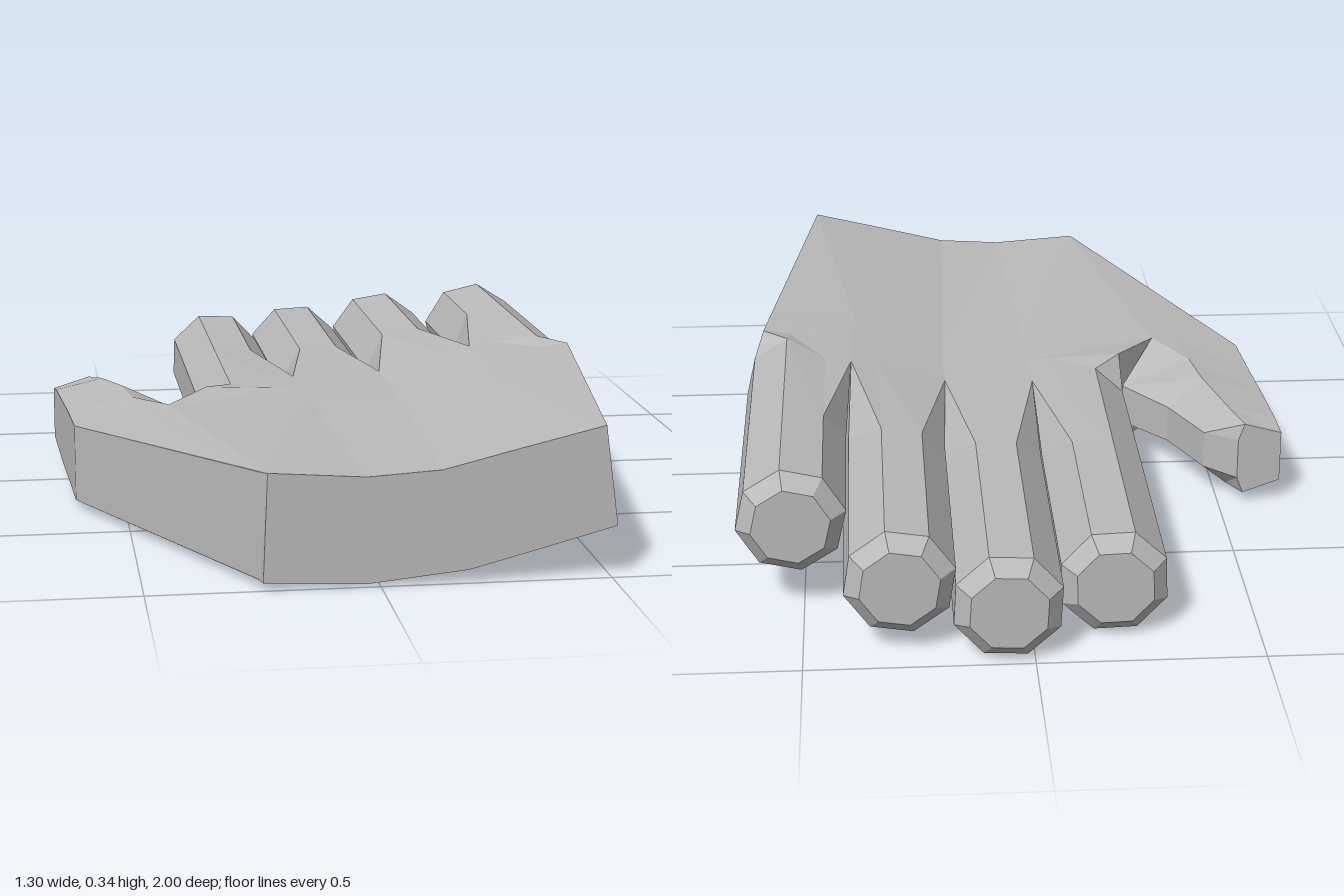
import * as THREE from 'three';

// Skin between rings of points (counter-clockwise seen from +z, running towards -z), capped at both ends.
function loft(rings) {
  const pos = [];
  const tri = (...pts) => pts.forEach((p) => pos.push(...p));
  const n = rings[0].length;
  for (let i = 0; i < rings.length - 1; i++) {
    for (let j = 0; j < n; j++) {
      const k = (j + 1) % n;
      const a = rings[i][j], b = rings[i][k], c = rings[i + 1][k], d = rings[i + 1][j];
      if (j % 4 < 2) { tri(a, d, c); tri(a, c, b); } else { tri(a, d, b); tri(b, d, c); }
    }
  }
  const cap = (r, flip) => {
    for (let k = 0; k < n / 2 - 1; k++) {
      const a = r[k], b = r[k + 1], c = r[n - 2 - k], d = r[n - 1 - k];
      if (flip) { tri(a, c, b); tri(a, d, c); } else { tri(a, b, c); tri(a, c, d); }
    }
  };
  cap(rings[0], false);
  cap(rings[rings.length - 1], true);
  const g = new THREE.BufferGeometry();
  g.setAttribute('position', new THREE.Float32BufferAttribute(pos, 3));
  g.computeVertexNormals();
  return g;
}

const mix = (a, b, t) => a.map((v, i) => v + (b[i] - v) * t);

export function createModel() {
  const group = new THREE.Group();
  const grey = new THREE.MeshStandardMaterial({ color: 0xbababa, flatShading: true });
  grey.name = 'light grey';
  const add = (name, rings) => {
    const mesh = new THREE.Mesh(loft(rings), grey);
    mesh.name = name;
    group.add(mesh);
  };

  // Curved knuckle line: [x, y] corners between the fingers, thumb side first
  const knuckleTop = [[-0.29, 0.255], [-0.06, 0.245], [0.157, 0.252], [0.387, 0.31], [0.605, 0.34]];
  const knuckleBottom = [[-0.29, 0.005], [-0.06, 0.01], [0.165, 0.03], [0.41, 0.075], [0.645, 0.12]];
  const wristTop = [[-0.24, 0.26], [-0.03, 0.245], [0.13, 0.255], [0.3, 0.297], [0.48, 0.34]];
  const wristBottom = [[-0.25, 0.022], [-0.03, 0.012], [0.19, 0.035], [0.35, 0.077], [0.51, 0.12]];
  const zKnuckle = 0.12, zWeb = 0.25;

  // Palm
  const slab = (top, bottom, z) => [...[...top].reverse(), ...bottom].map(([x, y]) => [x, y, z]);
  const t = (1 - zWeb) / (1 - zKnuckle);
  const webTop = wristTop.map((p, i) => mix(p, knuckleTop[i], t));
  const webBottom = wristBottom.map((p, i) => mix(p, knuckleBottom[i], t));
  webTop[0] = [-0.39, 0.243];
  webBottom[0] = [-0.39, 0.012];
  add('palm', [
    slab(wristTop, wristBottom, 1),
    slab(webTop, webBottom, zWeb),
    slab(knuckleTop, knuckleBottom, zKnuckle),
  ]);

  // Fingers: square roots on the knuckle line that turn into octagons, with bevelled tips
  const fingers = [
    { name: 'indexFinger', x: -0.18, y: 0.128, turn: -2, tip: -0.9 },
    { name: 'middleFinger', x: 0.057, y: 0.128, turn: 3, tip: -1 },
    { name: 'ringFinger', x: 0.289, y: 0.167, turn: 9, tip: -0.95 },
    { name: 'littleFinger', x: 0.524, y: 0.222, turn: 13, tip: -0.75 },
  ];
  fingers.forEach((f, i) => {
    const octagon = (r) => Array.from({ length: 8 }, (_, j) => {
      const a = THREE.MathUtils.degToRad(22.5 + 45 * j + f.turn);
      return [f.x + r * Math.cos(a), f.y + r * Math.sin(a)];
    });
    const [tl, tr, bl, br] = [knuckleTop[i], knuckleTop[i + 1], knuckleBottom[i], knuckleBottom[i + 1]];
    const root = [tr, mix(tr, tl, 0.29), mix(tr, tl, 0.71), tl, bl, mix(bl, br, 0.29), mix(bl, br, 0.71), br];
    const full = octagon(0.125);
    const isFlat = (j) => j % 4 === 1 || j % 4 === 2;
    const isOuter = (j) => (i === 0 && j > 1 && j < 6) || (i === 3 && (j < 2 || j > 5));
    add(f.name, [
      root.map((p) => [...p, zKnuckle]),
      root.map((p, j) => (isOuter(j) ? [...full[j], 0.05] : [...p, -0.02])),
      full.map((p, j) => [...p, isFlat(j) ? -0.38 : -0.31]),
      full.map((p) => [...p, f.tip + 0.035]),
      octagon(0.09).map((p) => [...p, f.tip]),
    ]);
  });

  // Thumb and its fleshy base: each section lists inner, ridge and outer [x, z, top y, bottom y]
  const thumb = [
    [[-0.24, 1, 0.26, 0.022], [-0.243, 0.997, 0.26, 0.022], [-0.25, 0.985, 0.258, 0.023]],
    [[-0.39, 0.25, 0.243, 0.012], [-0.45, 0.25, 0.234, 0.012], [-0.615, 0.28, 0.205, 0.025]],
    [[-0.3, 0.11, 0.17, 0.07], [-0.47, 0.12, 0.235, 0.01], [-0.625, 0.11, 0.203, 0.03]],
    [[-0.4, -0.02, 0.165, 0.075], [-0.487, -0.01, 0.236, 0.012], [-0.635, -0.02, 0.2, 0.038]],
    [[-0.47, -0.18, 0.165, 0.075], [-0.53, -0.16, 0.224, 0.02], [-0.645, -0.17, 0.195, 0.05]],
    [[-0.545, -0.24, 0.17, 0.07], [-0.56, -0.24, 0.212, 0.03], [-0.65, -0.235, 0.185, 0.06]],
  ];
  add('thumb', thumb.map((s) => [
    ...s.map(([x, z, top]) => [x, top, z]),
    ...[...s].reverse().map(([x, z, , bottom]) => [x, bottom, z]),
  ]));

  return group;
}
